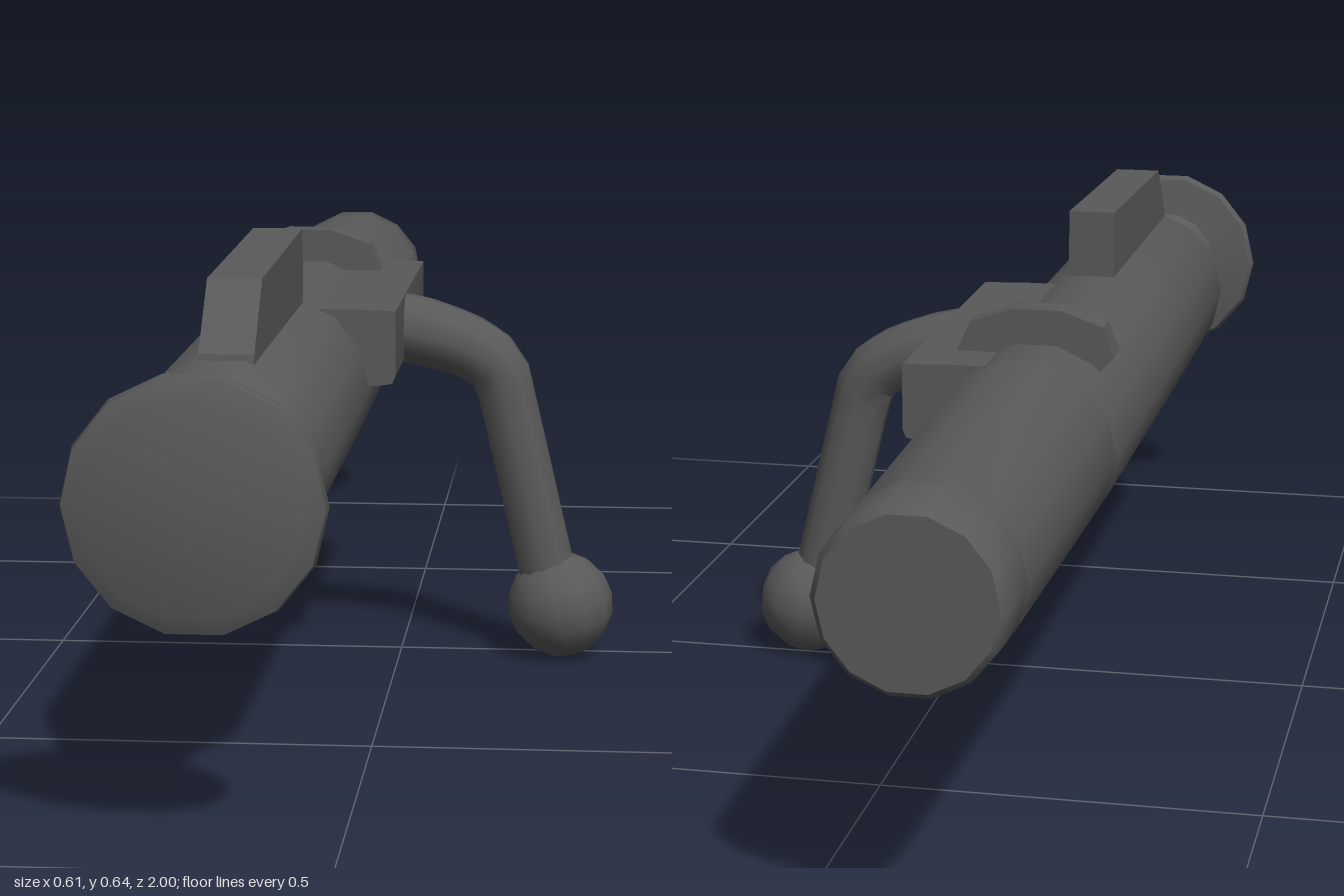
import * as THREE from 'three';
import { toCreasedNormals } from 'three/addons/utils/BufferGeometryUtils.js';

const AX = -0.155, AY = 0.42, SIDES = 14;

export function createModel() {
  const group = new THREE.Group();
  const steel = new THREE.MeshStandardMaterial({ color: 0x595959 });
  steel.name = 'darkSteel';

  function add(name, geo, crease = 0.8) {
    const mesh = new THREE.Mesh(toCreasedNormals(geo, crease), steel);
    mesh.name = name;
    group.add(mesh);
    return mesh;
  }
  // Solid turned about the long axis, from [radius, z] pairs
  function turned(name, profile) {
    const geo = new THREE.LatheGeometry(profile.map(p => new THREE.Vector2(p[0], p[1])), SIDES, Math.PI / 2);
    geo.rotateX(Math.PI / 2).translate(AX, AY, 0);
    return add(name, geo);
  }
  const shapeOf = pts => new THREE.Shape(pts.map(p => new THREE.Vector2(p[0], p[1])));
  const extrude = (pts, depth) => new THREE.ExtrudeGeometry(shapeOf(pts), { depth, bevelEnabled: false });

  // Main cylinder with the neck and flared end knob
  turned('body', [
    [0, -0.34], [0.125, -0.34], [0.127, 0.2], [0.126, 0.73], [0.108, 0.78], [0.088, 0.83],
    [0.078, 0.9], [0.078, 0.94], [0.085, 0.953], [0.145, 0.965], [0.151, 0.975],
    [0.148, 0.99], [0.125, 1], [0, 1],
  ]);
  // Closed far tip
  turned('tip', [[0, -1], [0.105, -1], [0.113, -0.99], [0.116, -0.9], [0, -0.9]]);

  // Hollow, tapering section, open on the lower left side
  const outer = [], inner = [];
  for (let k = 1; k <= 11; k++) {
    const a = k * Math.PI * 2 / SIDES;
    outer.push([0.125 * Math.cos(a), 0.125 * Math.sin(a)]);
    inner.unshift([0.097 * Math.cos(a), 0.097 * Math.sin(a)]);
  }
  const shell = extrude([...outer, ...inner], 0.56).translate(0, 0, -0.9);
  const sp = shell.attributes.position;
  for (let i = 0; i < sp.count; i++) {
    const s = sp.getZ(i) < -0.6 ? 0.928 : 1;
    sp.setXY(i, sp.getX(i) * s + AX, sp.getY(i) * s + AY);
  }
  add('slottedShell', shell, 0.6);

  // Upright rib on top
  const rib = extrude([[0.21, 0.5], [0.74, 0.5], [0.73, 0.55], [0.65, 0.63], [0.21, 0.64]], 0.067);
  rib.rotateY(-Math.PI / 2).translate(-0.118, 0, 0);
  add('topRib', rib, 0.3);

  // Raised arched ridge across the top
  const ridge = extrude([
    [-0.06, 0.06], [0.06, 0.06], [0.108, 0.11], [0.09, 0.15], [0.033, 0.17],
    [-0.033, 0.17], [-0.09, 0.15], [-0.105, 0.11],
  ], 0.045).translate(AX, AY, -0.245);
  add('archRidge', ridge, 0.6);

  // Side block that carries the handle
  const block = extrude([
    [-0.14, 0.43], [-0.02, 0.425], [0.003, 0.428], [0.008, 0.44], [0.008, 0.528], [-0.05, 0.53], [-0.14, 0.53],
  ], 0.54).translate(0, 0, -0.33);
  add('handleBlock', block, 0.4);

  // Bent handle, thicker at its root
  const path = new THREE.CatmullRomCurve3([
    [-0.03, 0.478], [0.02, 0.476], [0.09, 0.455], [0.138, 0.425], [0.155, 0.37], [0.218, 0.1],
  ].map(p => new THREE.Vector3(p[0], p[1], 0.02)), false, 'catmullrom', 0.2);
  const SEG = 24, RAD = 10;
  const tube = new THREE.TubeGeometry(path, SEG, 1, RAD, false);
  const tp = tube.attributes.position, v = new THREE.Vector3();
  for (let i = 0; i < tp.count; i++) {
    const t = Math.floor(i / (RAD + 1)) / SEG;
    const c = path.getPointAt(t);
    const r = THREE.MathUtils.lerp(0.052, 0.041, Math.min(1, t / 0.45));
    v.fromBufferAttribute(tp, i).sub(c).multiplyScalar(r).add(c);
    tp.setXYZ(i, v.x, v.y, v.z);
  }
  add('handle', tube, 1.2);

  // Ball at the end of the handle
  const ball = new THREE.SphereGeometry(0.076, 12, 8).rotateZ(0.22).translate(0.231, 0.078, 0.02);
  add('handleBall', ball, 1.2);

  return group;
}
